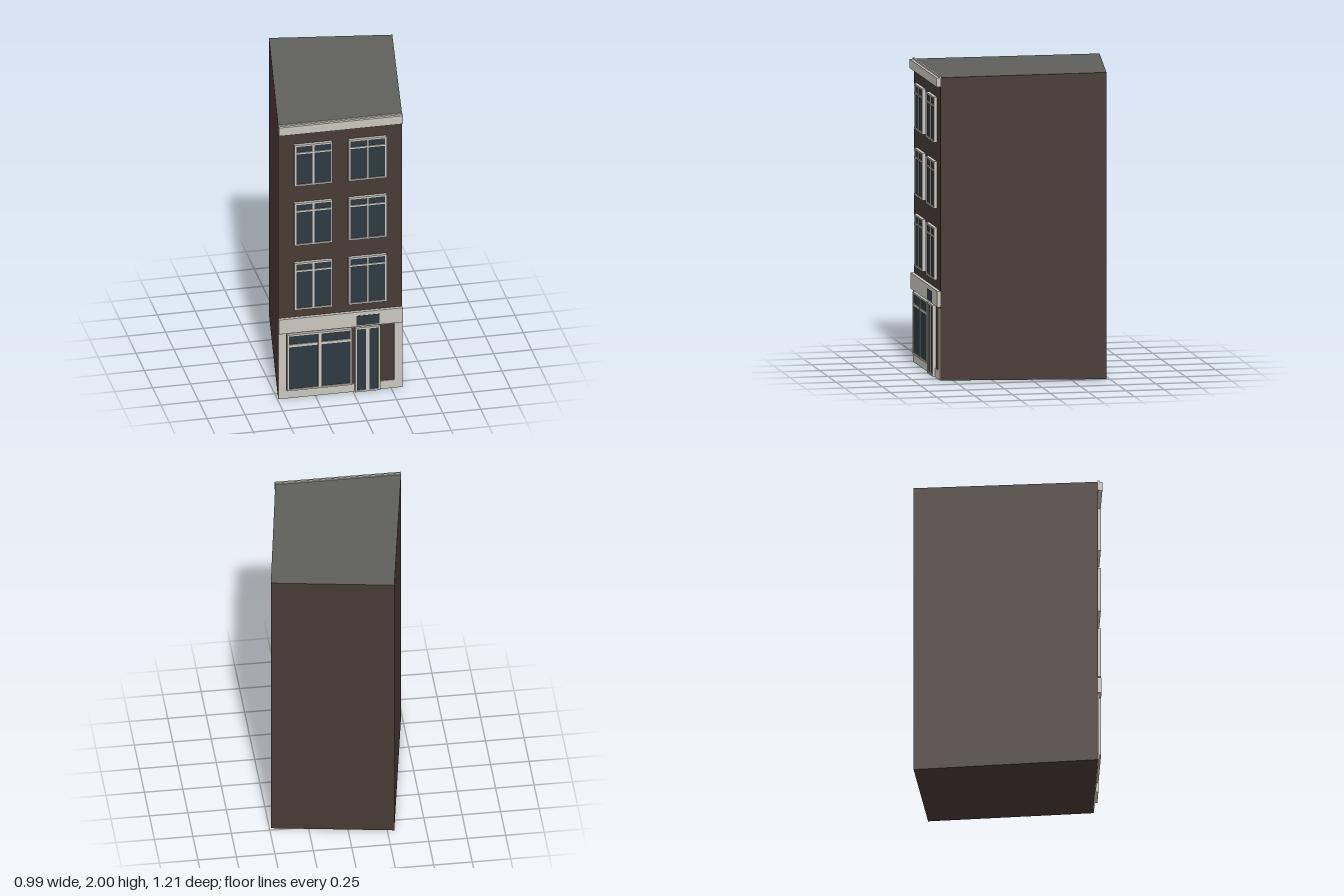
import * as THREE from 'three';

const mat = (name, color) => {
  const m = new THREE.MeshStandardMaterial({ color });
  m.name = name;
  return m;
};

export function createModel() {
  const brick = mat('brown brick', 0x483a34);
  const roof = mat('grey roof', 0x5f605b);
  const trim = mat('pale trim', 0xcac6bd);
  const glass = mat('dark glass', 0x2d3a41);
  const model = new THREE.Group();
  const FRONT = 0.577;

  // box given by its two opposite corners
  const box = (parent, name, material, x0, x1, y0, y1, z0, z1) => {
    const mesh = new THREE.Mesh(new THREE.BoxGeometry(x1 - x0, y1 - y0, z1 - z0), material);
    mesh.position.set((x0 + x1) / 2, (y0 + y1) / 2, (z0 + z1) / 2);
    mesh.name = name;
    parent.add(mesh);
  };

  // skewed building volume with a roof rising slightly to the back
  const geo = new THREE.BoxGeometry(2, 2, 2);
  const p = geo.attributes.position;
  for (let i = 0; i < p.count; i++) {
    const right = p.getX(i) > 0, top = p.getY(i) > 0, front = p.getZ(i) > 0;
    const x = front ? (right ? 0.324 : -0.494) : (right ? 0.491 : -0.295);
    const z = front ? FRONT : (right ? -0.48 : -0.605);
    p.setXYZ(i, x, top ? (front ? 1.975 : 2) : 0, z);
  }
  geo.computeVertexNormals();
  const body = new THREE.Mesh(geo, [brick, brick, roof, brick, brick, brick]);
  body.name = 'building';
  model.add(body);

  // framed glazing: outer frame, centre mullion, optional transom
  const glazing = (name, x0, x1, y0, y1, frame, mullion, transomY, transomH) => {
    const g = new THREE.Group();
    g.name = name;
    const z1 = 0.599, xm = (x0 + x1) / 2;
    box(g, 'pane', glass, x0 + frame, x1 - frame, y0 + frame, y1 - frame, FRONT, 0.592);
    box(g, 'leftJamb', trim, x0, x0 + frame, y0, y1, FRONT, z1);
    box(g, 'rightJamb', trim, x1 - frame, x1, y0, y1, FRONT, z1);
    box(g, 'sill', trim, x0 + frame, x1 - frame, y0, y0 + frame, FRONT, z1);
    box(g, 'head', trim, x0 + frame, x1 - frame, y1 - frame, y1, FRONT, z1);
    box(g, 'mullion', trim, xm - mullion / 2, xm + mullion / 2, y0 + frame, y1 - frame, FRONT, z1);
    if (transomY) {
      box(g, 'transom', trim, x0 + frame, x1 - frame, transomY - transomH / 2, transomY + transomH / 2, FRONT, 0.598);
    }
    model.add(g);
  };

  // three floors of paired windows
  for (const [y0, y1] of [[0.64, 0.98], [1.105, 1.412], [1.535, 1.832]]) {
    for (const x0 of [-0.39, -0.032]) {
      glazing('upperWindow', x0, x0 + 0.25, y0, y1, 0.011, 0.012, y1 - 0.06, 0.011);
    }
  }

  // flat shopfront surround with one wide opening
  const outline = new THREE.Shape([[-0.494, 0], [0.324, 0], [0.324, 0.468], [-0.494, 0.468]].map(a => new THREE.Vector2(...a)));
  outline.holes.push(new THREE.Path([[-0.443, 0.058], [-0.443, 0.467], [0.272, 0.467], [0.272, 0.058]].map(a => new THREE.Vector2(...a))));
  const surround = new THREE.Mesh(new THREE.ExtrudeGeometry(outline, { depth: 0.005, bevelEnabled: false }), trim);
  surround.position.z = FRONT;
  surround.name = 'shopSurround';
  model.add(surround);

  // shop window and double door
  glazing('shopWindow', -0.437, -0.01, 0.06, 0.465, 0.011, 0.021, 0.384, 0.018);
  glazing('shopDoor', 0.01, 0.175, 0.003, 0.468, 0.012, 0.02);

  // fascia, small light above the door, cornice and its cap
  box(model, 'fascia', trim, -0.494, 0.324, 0.478, 0.582, FRONT - 0.002, 0.6);
  box(model, 'doorLight', glass, 0.018, 0.168, 0.487, 0.556, 0.598, 0.602);
  box(model, 'cornice', trim, -0.494, 0.324, 1.915, 1.974, FRONT - 0.002, 0.605);
  box(model, 'corniceCap', trim, -0.494, 0.324, 1.97, 1.983, FRONT - 0.004, 0.586);
  return model;
}
